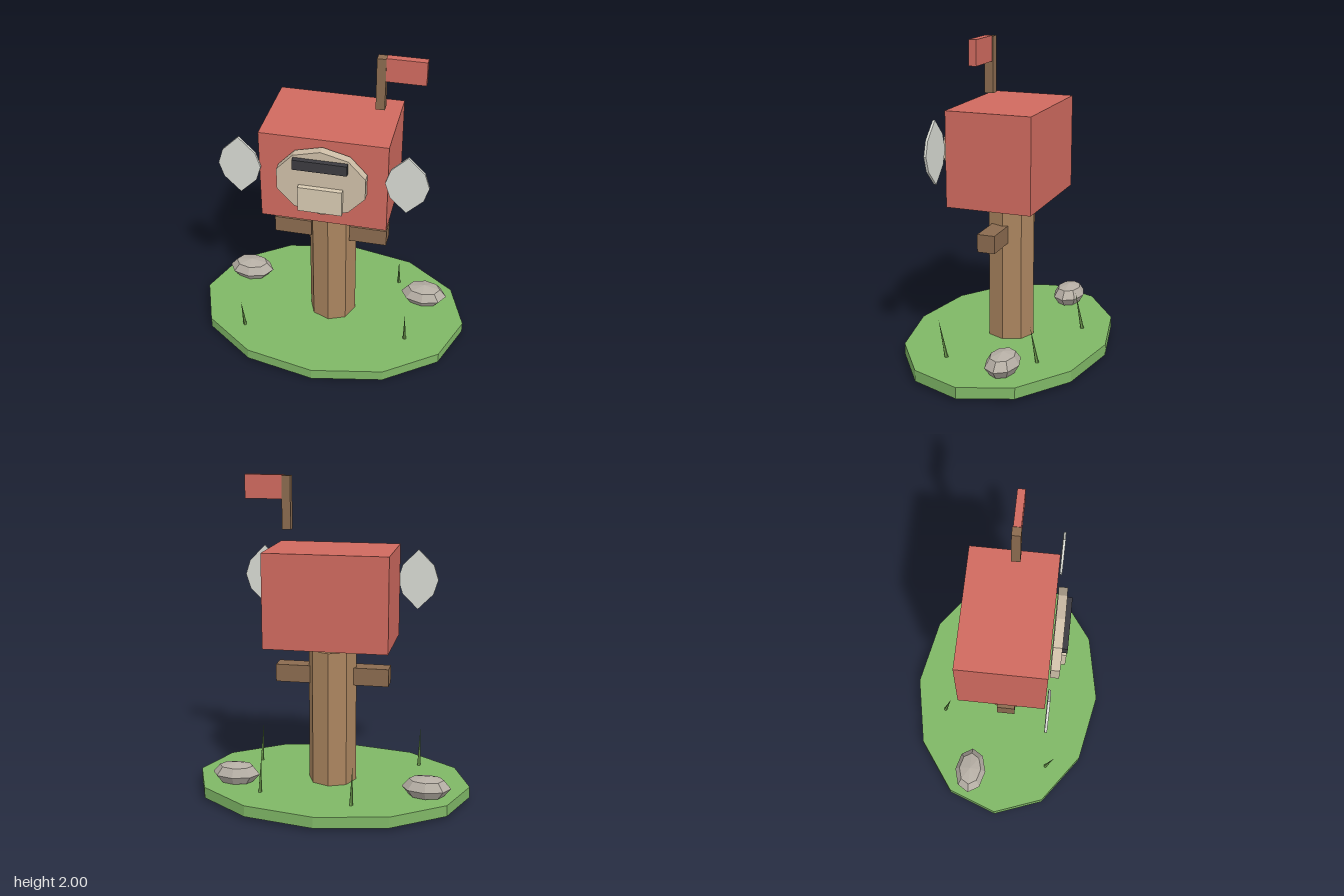
import * as THREE from 'three';

const material = (color) => new THREE.MeshStandardMaterial({ color, flatShading: true });

export function createModel() {
  const model = new THREE.Group();
  const grass = material(0x7fb766), blade = material(0x6d9a4e);
  const wood = material(0xab855f), darkWood = material(0x8b6b4f);
  const red = material(0xd06a5f), cream = material(0xcfbfa8), paleCream = material(0xd8cab2);
  const dark = material(0x3c3b40), stone = material(0xb5aea4), pale = material(0xd8dad3);

  const add = (name, geometry, mat, x, y, z) => {
    const mesh = new THREE.Mesh(geometry, mat);
    mesh.name = name;
    mesh.position.set(x, y, z);
    model.add(mesh);
    return mesh;
  };
  const box = (name, w, h, d, mat, x, y, z) => add(name, new THREE.BoxGeometry(w, h, d), mat, x, y, z);

  // Oval lawn and octagonal post
  add('lawn', new THREE.CylinderGeometry(1, 1, 0.07, 12).scale(0.87, 1, 0.625), grass, 0, 0.055, 0);
  add('post', new THREE.CylinderGeometry(0.15, 0.15, 0.87, 8), wood, 0, 0.51, 0);

  // Box body
  box('mailbox', 0.76, 0.58, 0.53, red, 0, 1.275, 0);

  // Front door with slot and panel
  const door = new THREE.CylinderGeometry(1, 1, 0.054, 10).rotateX(Math.PI / 2).scale(0.275, 0.218, 1);
  add('door', door, cream, 0, 1.306, 0.302);
  box('mailSlot', 0.32, 0.065, 0.035, dark, 0, 1.437, 0.342);
  box('doorPanel', 0.262, 0.165, 0.035, paleCream, 0, 1.202, 0.342);

  // Flag
  box('flagPole', 0.053, 0.324, 0.053, darkWood, 0.284, 1.834, 0.018);
  box('flag', 0.23, 0.145, 0.045, red, 0.425, 1.9275, 0.018);

  // Leaf-shaped side plates and cross arms
  const outline = [[0, 0.19], [0.098, 0.092], [0.127, 0], [0.098, -0.092],
    [0, -0.19], [-0.098, -0.092], [-0.127, 0], [-0.098, 0.092]];
  const leaf = new THREE.ExtrudeGeometry(
    new THREE.Shape(outline.map(([x, y]) => new THREE.Vector2(x, y))),
    { depth: 0.015, bevelEnabled: false });
  for (const [side, s] of [['left', 1], ['right', -1]]) {
    add(side + 'Wing', leaf, pale, s * 0.494, 1.34, 0.273);
    box(side + 'Arm', 0.233, 0.11, 0.11, darkWood, s * 0.238, 0.775, 0.025);
  }

  // Faceted rocks
  const rock = new THREE.SphereGeometry(1, 8, 4).scale(0.151, 0.073, 0.102);
  add('rightRock', rock, stone, -0.616, 0.146, -0.189);
  add('leftRock', rock, stone, 0.585, 0.146, -0.173);

  // Grass blades leaning forward
  const blades = [[-0.52, 0.33, 0.33], [-0.19, 0.33, -0.4], [0.395, 0.312, -0.303], [0.52, 0.33, 0.233]];
  for (const [x, h, z] of blades) {
    add('grassBlade', new THREE.ConeGeometry(0.016, h, 5), blade, x, h / 2 + 0.001, z).rotation.x = 0.2;
  }
  return model;
}
